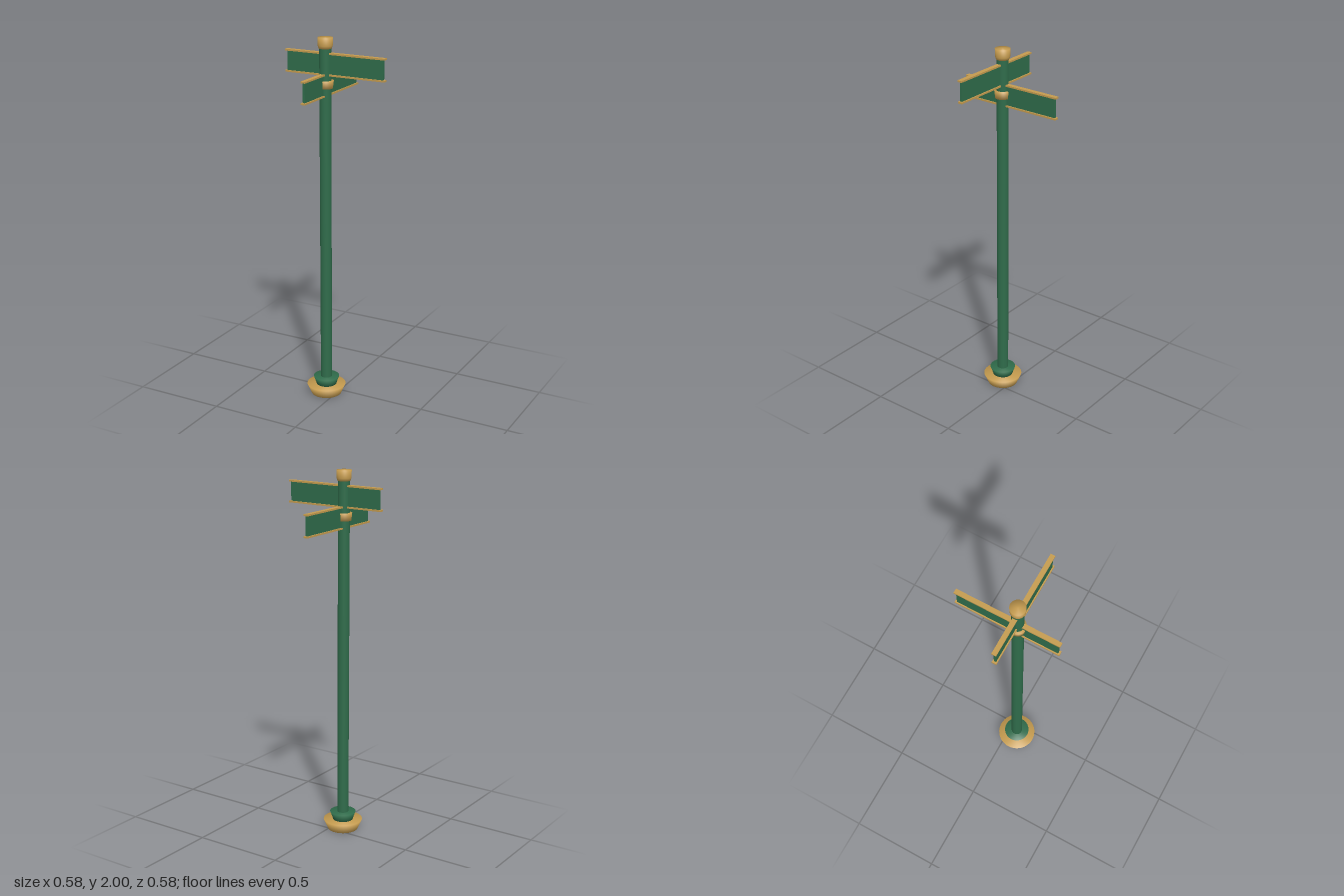
import * as THREE from 'three';

const GOLD = new THREE.MeshStandardMaterial({ color: 0xc39a4e });
const GREEN = new THREE.MeshStandardMaterial({ color: 0x2f6b4a });
const POLE_X = -0.057, POLE_Z = 0.055;

// Closed turned part on the pole axis, smooth all over; profile is [radius, height] pairs
function turned(name, profile, material) {
  const points = profile.map(([r, y]) => new THREE.Vector2(r, y));
  const mesh = new THREE.Mesh(new THREE.LatheGeometry(points, 40), material);
  mesh.name = name;
  mesh.position.set(POLE_X, 0, POLE_Z);
  return mesh;
}

function box(name, w, h, d, y, material) {
  const mesh = new THREE.Mesh(new THREE.BoxGeometry(w, h, d), material);
  mesh.name = name;
  mesh.position.y = y;
  return mesh;
}

// Street sign along x: a thin panel between two wider trim rails
function sign(name, y) {
  const group = new THREE.Group();
  group.name = name;
  group.add(box('signPanel', 0.556, 0.104, 0.012, 0, GREEN));
  for (const side of [-1, 1]) {
    group.add(box(side > 0 ? 'topRail' : 'bottomRail', 0.576, 0.009, 0.025, side * 0.0555, GOLD));
  }
  group.position.y = y;
  return group;
}

export function createModel() {
  const model = new THREE.Group();
  model.name = 'streetSignPost';

  // Flared foot and collar
  model.add(turned('base', [[0, 0], [0.083, 0], [0.107, 0.055], [0, 0.055]], GOLD));
  model.add(turned('collar', [[0, 0.05], [0.054, 0.05], [0.06, 0.07], [0.071, 0.1], [0, 0.1]], GREEN));

  // Pole, with the clamp and cap
  model.add(turned('pole', [[0.031, 0.09], [0.031, 1.95]], GREEN));
  model.add(turned('clamp', [[0, 1.735], [0.039, 1.735], [0.044, 1.776], [0, 1.776]], GOLD));
  model.add(turned('cap', [[0, 1.942], [0.034, 1.942], [0.039, 1.957], [0.04, 1.998], [0, 2]], GOLD));

  // Two crossed signs, the lower one turned to run along z
  const upper = sign('upperSign', 1.861);
  upper.position.z = POLE_Z;
  const lower = sign('lowerSign', 1.752);
  lower.position.x = POLE_X;
  lower.rotation.y = Math.PI / 2;
  model.add(upper, lower);

  return model;
}
